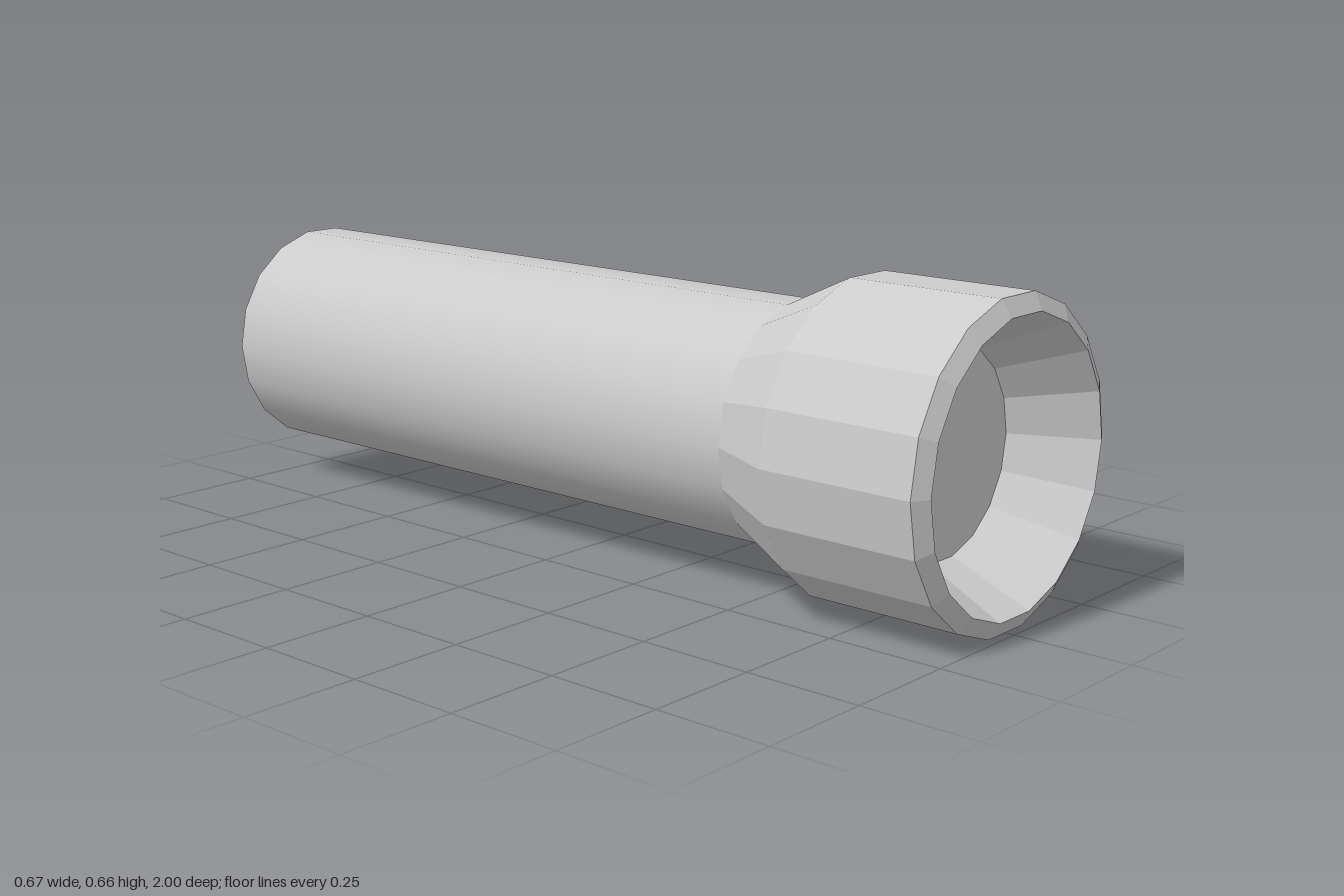
import * as THREE from 'three';

const SIDES = 18;
const AXIS_Y = 0.328;

export function createModel() {
  const group = new THREE.Group();
  group.name = 'flashlight';

  // Adds a part built along +y, laid down so it points to the front
  const add = (name, geometry, flatShading) => {
    geometry.rotateX(Math.PI / 2);
    const material = new THREE.MeshStandardMaterial({ color: 0xcccccc, flatShading });
    const mesh = new THREE.Mesh(geometry, material);
    mesh.name = name;
    mesh.position.y = AXIS_Y;
    group.add(mesh);
  };

  // Smooth straight handle with a flat rear end
  const back = -1, neck = 0.477;
  const handle = new THREE.CylinderGeometry(0.257, 0.257, neck - back, SIDES, 1, false, Math.PI / 2);
  handle.translate(0, (neck + back) / 2, 0);
  add('handle', handle, false);

  // Faceted head: shoulder, barrel and bevelled rim
  const lathe = (points) => new THREE.LatheGeometry(
    points.map(([r, z]) => new THREE.Vector2(r, z)), SIDES, Math.PI / 2);
  add('head', lathe([[0.257, neck], [0.333, 0.638], [0.333, 0.98], [0.297, 1]]), true);

  // Sloping reflector wall and the flat lens at its bottom
  add('reflector', lathe([[0.297, 1], [0.218, 0.83]]), true);
  add('lens', lathe([[0.218, 0.83], [0, 0.83]]), true);

  return group;
}
